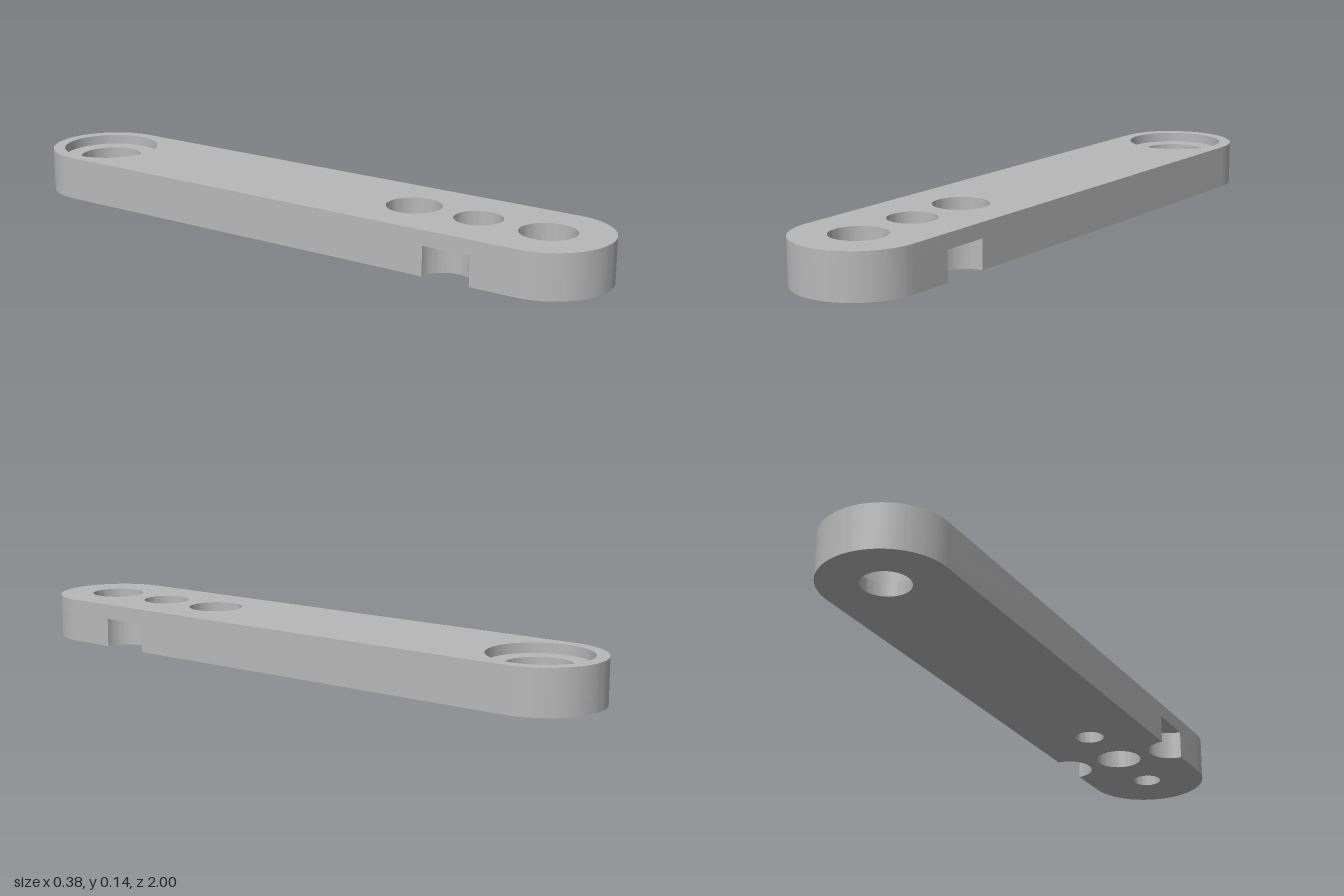
import * as THREE from 'three';
import { toCreasedNormals } from 'three/addons/utils/BufferGeometryUtils.js';

const W = 0.189;            // half width and end radius
const C = 1 - W;            // end arc centres
const H = 0.136;            // thickness
const NOTCH = { z: 0.596, r: 0.076, top: 0.09 };
const ARC = 32;

// Each bore: centre z and a [radius, y] profile running from the top down
const BORES = [
  { name: 'rearSteppedBore', z: -C, profile: [[0.152, H], [0.152, 0.106], [0.098, 0.106], [0.098, 0.04], [0.071, 0.04], [0.071, 0]] },
  { name: 'innerCounterbore', z: 0.375, profile: [[0.083, H], [0.083, 0.045], [0.045, 0.045], [0.045, 0]] },
  { name: 'middleHole', z: 0.59, profile: [[0.072, H], [0.072, 0]] },
  { name: 'outerCounterbore', z: C, profile: [[0.083, H], [0.083, 0.045], [0.045, 0.045], [0.045, 0]] },
];

// Rounded bar outline, counter-clockwise; shape y is world -z
function outline(notched) {
  const s = new THREE.Shape();
  const { z, r } = NOTCH;
  s.moveTo(W, -C);
  if (notched) {
    s.lineTo(W, -z - r);
    s.absarc(W, -z, r, -Math.PI / 2, Math.PI / 2, true);
  }
  s.lineTo(W, C);
  s.absarc(0, C, W, 0, Math.PI, false);
  if (notched) {
    s.lineTo(-W, -z + r);
    s.absarc(-W, -z, r, Math.PI / 2, -Math.PI / 2, true);
  }
  s.lineTo(-W, -C);
  s.absarc(0, -C, W, Math.PI, Math.PI * 2, false);
  return s;
}

// Flat face with the bore openings cut out
function cap(shape, end, y, down) {
  for (const b of BORES) {
    const r = b.profile.at(end)[0];
    shape.holes.push(new THREE.Path().absarc(0, -b.z, r, 0, Math.PI * 2, true));
  }
  const g = new THREE.ShapeGeometry(shape, ARC).rotateX(-Math.PI / 2).translate(0, y, 0);
  if (down) g.index.array.reverse();
  g.computeVertexNormals();
  return g;
}

// Upright wall that follows an outline
function wall(shape, y0, y1) {
  const pts = shape.getPoints(ARC).filter((p, i, all) =>
    p.distanceTo(all[(i + 1) % all.length]) > 1e-5);
  const pos = [];
  pts.forEach((a, i) => {
    const b = pts[(i + 1) % pts.length];
    pos.push(a.x, y0, -a.y, b.x, y0, -b.y, b.x, y1, -b.y);
    pos.push(a.x, y0, -a.y, b.x, y1, -b.y, a.x, y1, -a.y);
  });
  const g = new THREE.BufferGeometry();
  g.setAttribute('position', new THREE.Float32BufferAttribute(pos, 3));
  return toCreasedNormals(g, 0.5);
}

export function createModel() {
  const model = new THREE.Group();
  model.name = 'linkBar';
  const grey = new THREE.MeshStandardMaterial({ color: 0xb8b8b8 });
  grey.name = 'plainGrey';
  const add = (name, geometry) => {
    const mesh = new THREE.Mesh(geometry, grey);
    mesh.name = name;
    model.add(mesh);
    return mesh;
  };

  // Bar body
  add('topFace', cap(outline(false), 0, H, false));
  add('bottomFace', cap(outline(true), -1, 0, true));
  add('upperSideWall', wall(outline(false), NOTCH.top, H));
  add('lowerSideWall', wall(outline(true), 0, NOTCH.top));

  // Ceilings of the two side notches
  for (const side of [1, -1]) {
    const start = side > 0 ? Math.PI / 2 : -Math.PI / 2;
    const g = new THREE.CircleGeometry(NOTCH.r, ARC, start, Math.PI).rotateX(Math.PI / 2);
    add(side > 0 ? 'leftNotchCeiling' : 'rightNotchCeiling', g)
      .position.set(side * W, NOTCH.top, NOTCH.z);
  }

  // Bores, turned from their stepped profiles
  for (const b of BORES) {
    const pts = b.profile.map(([r, y]) => new THREE.Vector2(r, y));
    const g = toCreasedNormals(new THREE.LatheGeometry(pts, ARC * 2), 0.5);
    add(b.name, g).position.z = b.z;
  }
  return model;
}
